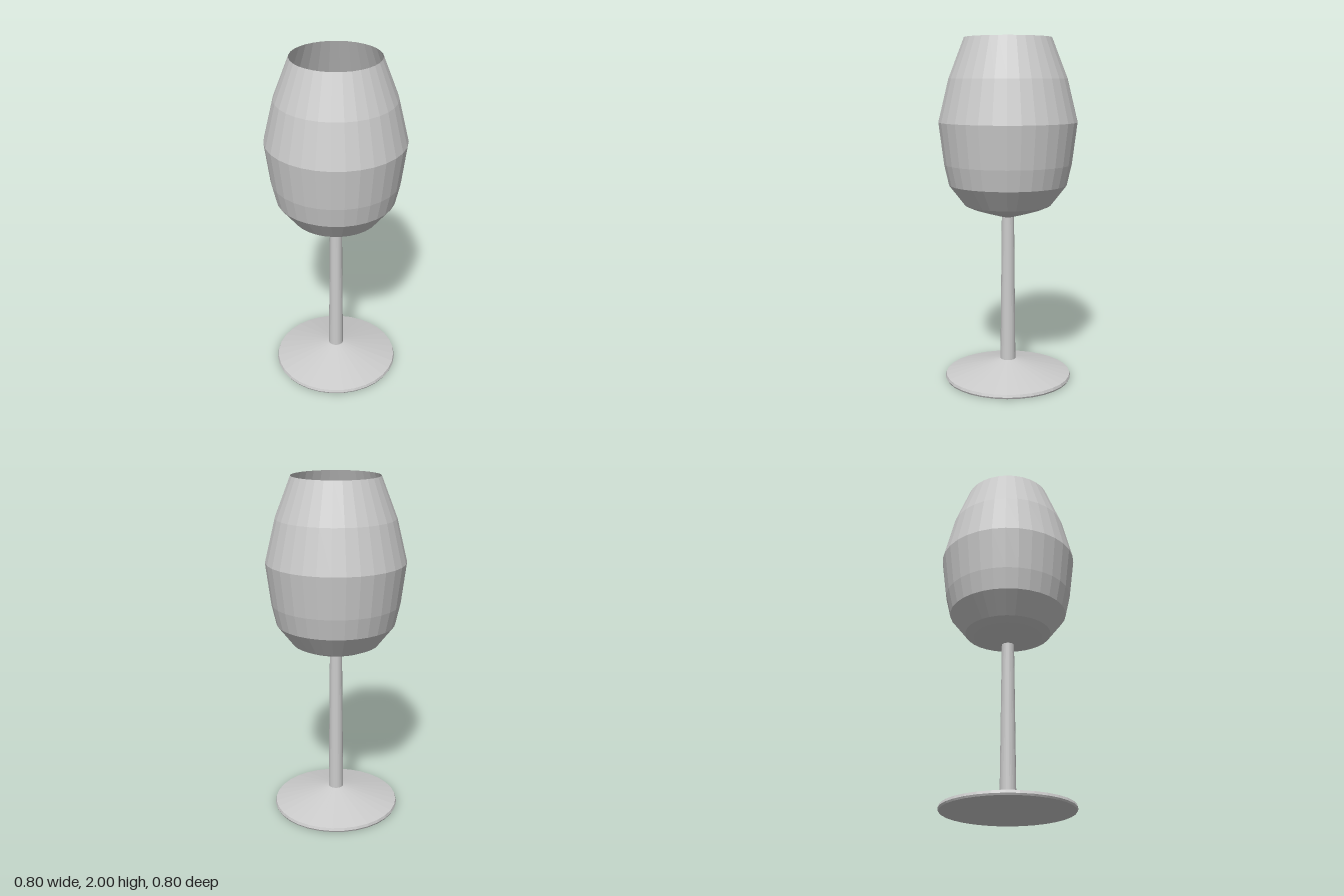
import * as THREE from 'three';

const SEGMENTS = 32;

// Revolve [radius, height] points, listed from bottom to top
function turned(name, profile, material) {
  const points = profile.map(([r, y]) => new THREE.Vector2(r, y));
  const mesh = new THREE.Mesh(new THREE.LatheGeometry(points, SEGMENTS), material);
  mesh.name = name;
  return mesh;
}

export function createModel() {
  const solid = new THREE.MeshStandardMaterial({ color: 0xcccccc, flatShading: true });
  const thin = new THREE.MeshStandardMaterial({ color: 0xcccccc, flatShading: true, side: THREE.DoubleSide });
  const glass = new THREE.Group();
  glass.name = 'wineGlass';

  // Flat disc with a shallow cone rising to the stem
  glass.add(turned('foot', [[0, 0], [0.37, 0], [0.375, 0.01], [0.37, 0.025], [0.045, 0.11]], solid));

  // Slender tapering stem, closed where it meets the bowl
  glass.add(turned('stem', [[0.045, 0.11], [0.036, 0.975], [0, 0.975]], solid));

  // Open single-walled bowl, narrowing towards the rim
  glass.add(turned('bowl', [
    [0.036, 0.975], [0.125, 1.0], [0.2, 1.023], [0.25, 1.045], [0.343, 1.165],
    [0.37, 1.285], [0.4, 1.525], [0.34, 1.77], [0.25, 2],
  ], thin));

  return glass;
}
